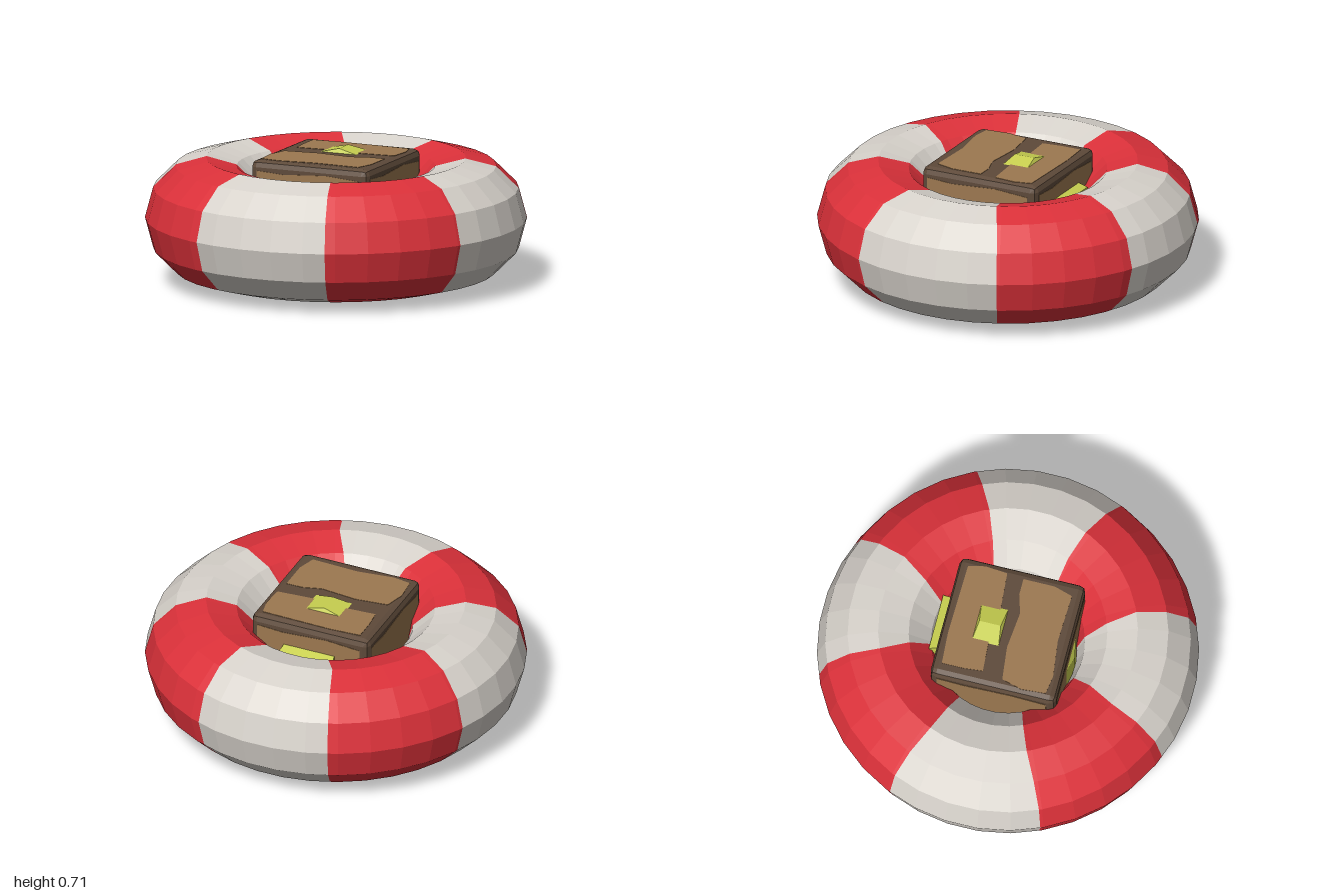
import * as THREE from 'three';
import { RoundedBoxGeometry } from 'three/addons/geometries/RoundedBoxGeometry.js';

const mat = (name, color) => new THREE.MeshStandardMaterial({ name, color, flatShading: true });
const DEG = Math.PI / 180;

// Ring: 36 facets around, 12 around the tube
const R = 0.68, r = 0.32, RING_Y = 0.345, SIDES = 12;
// Half width (degrees) of the white bands, by step from the outer to the inner edge
const ENDS = [21.8, 21.9, 22.2, 22.8, 20, 17, 17];
const FLANKS = [24, 24, 23.5, 22.5, 23, 24.8, 24.9];

function ringPoint(deg, j) {
  const phi = j / SIDES * Math.PI * 2;
  const d = deg - Math.round(deg / 10) * 10;
  const rad = (R + r * Math.cos(phi)) * Math.cos(5 * DEG) / Math.cos(d * DEG) * 1.003;
  return [rad * Math.sin(deg * DEG), RING_Y + r * Math.sin(phi), rad * Math.cos(deg * DEG)];
}

// One coloured section between two boundaries that vary around the tube
function ringSection(start, end, fixed) {
  const pos = [];
  const column = (j) => {
    const k = Math.min(j % SIDES, SIDES - j % SIDES);
    return [start(k), ...fixed, end(k)].map((a) => ringPoint(a, j));
  };
  for (let j = 0; j < SIDES; j++) {
    const a = column(j), b = column(j + 1);
    for (let i = 0; i < a.length - 1; i++) {
      pos.push(...a[i], ...a[i + 1], ...b[i + 1], ...a[i], ...b[i + 1], ...b[i]);
    }
  }
  const g = new THREE.BufferGeometry();
  g.setAttribute('position', new THREE.Float32BufferAttribute(pos, 3));
  g.computeVertexNormals();
  return g;
}

// Thin plate from an outline, facing +z
function plate(points, depth = 0.003) {
  const shape = new THREE.Shape(points.map(([x, y]) => new THREE.Vector2(x, y)));
  return new THREE.ExtrudeGeometry(shape, { depth, bevelEnabled: false });
}

// Ridged clasp facing +z, ridge along y, with sloping ends
function ridgedClasp(w, len, h) {
  const shape = new THREE.Shape([[-w, 0], [w, 0], [0, h]].map(([x, y]) => new THREE.Vector2(x, y)));
  const g = new THREE.ExtrudeGeometry(shape, { depth: len, bevelEnabled: false });
  g.translate(0, 0, -len / 2).rotateX(Math.PI / 2);
  g.scale(1, 1, 1);
  const p = g.attributes.position;
  for (let i = 0; i < p.count; i++) {
    if (p.getZ(i) > h / 2) p.setY(i, p.getY(i) * 0.8);
  }
  g.computeVertexNormals();
  return g;
}

export function createModel() {
  const model = new THREE.Group();
  model.name = 'lifeRingWithCrate';
  const red = mat('red', 0xdc313a), white = mat('offWhite', 0xd8d3cc);
  const dark = mat('darkBrown', 0x5e4a3a), tan = mat('tan', 0x9c7850);
  const mid = mat('midBrown', 0x86684c), lime = mat('limeYellow', 0xc8d050);
  const grey = mat('paleGrey', 0xb8b6b4);

  const add = (parent, name, geometry, material) => {
    const m = new THREE.Mesh(geometry, material);
    m.name = name;
    parent.add(m);
    return m;
  };

  // Alternating bands of the ring
  const ring = new THREE.Group();
  ring.name = 'ring';
  model.add(ring);
  for (let q = 0; q < 4; q++) {
    const c = q * 90;
    const here = q % 2 ? FLANKS : ENDS, next = q % 2 ? ENDS : FLANKS;
    const whiteFixed = [-15, -5, 5, 15].map((a) => a + c);
    const redFixed = [25, 35, 45, 55, 65].map((a) => a + c);
    add(ring, 'whiteBand', ringSection((k) => c - here[k], (k) => c + here[k], whiteFixed), white);
    add(ring, 'redBand', ringSection((k) => c + here[k], (k) => c + 90 - next[k], redFixed), red);
  }

  // Crate in the middle
  const crate = new THREE.Group();
  crate.name = 'crate';
  model.add(crate);
  const H = 0.34;
  const body = add(crate, 'crateBody', new RoundedBoxGeometry(2 * H, 0.679, 2 * H, 1, 0.035), dark);
  body.position.y = 0.3425;

  // Worn panels on the top
  const topPanels = [
    [[-0.26, 0.07], [-0.27, 0.17], [-0.27, 0.29], [-0.1, 0.3], [0.29, 0.29], [0.31, 0.2], [0.3, 0.08], [0.1, 0.065], [-0.1, 0.08]],
    [[-0.3, -0.28], [-0.31, -0.15], [-0.28, -0.04], [-0.1, -0.02], [0.1, -0.04], [0.2, -0.01], [0.29, -0.01], [0.29, -0.18],
      [0.26, -0.28], [0, -0.27], [-0.2, -0.295]],
  ];
  for (const outline of topPanels) {
    add(crate, 'topPanel', plate(outline).rotateX(-Math.PI / 2).translate(0, 0.681, 0), tan);
  }

  // One panel on each side
  const sideOutline = [[-0.29, 0.05], [0.28, 0.045], [0.3, 0.2], [0.29, 0.62], [0.1, 0.635], [-0.15, 0.62], [-0.3, 0.63], [-0.3, 0.3]];
  for (let i = 0; i < 4; i++) {
    const panel = add(crate, 'sidePanel', plate(sideOutline).translate(0, 0, H - 0.001), tan);
    panel.rotation.y = i * Math.PI / 2;
  }

  // Underside with its patch, and the pale lower edge
  const under = add(crate, 'underside', new THREE.BoxGeometry(0.61, 0.002, 0.61), mid);
  under.position.y = 0.0025;
  const patch = [[0.08, -0.226], [0.21, 0.06], [-0.03, 0.28], [-0.29, 0.08], [-0.22, -0.15]];
  add(crate, 'undersidePatch', plate(patch, 0.002).rotateX(-Math.PI / 2), lime);
  const edge = add(crate, 'lowerEdge', new THREE.BoxGeometry(0.05, 0.005, 0.61), grey);
  edge.position.set(H - 0.0165, 0.0185, 0);
  edge.rotation.z = Math.PI / 4;

  // Clasps on the top, front and back
  const topClasp = add(crate, 'topClasp', ridgedClasp(0.108, 0.145, 0.024), lime);
  topClasp.rotation.x = -Math.PI / 2;
  topClasp.position.set(0, 0.681, -0.097);
  const frontClasp = add(crate, 'frontClasp', ridgedClasp(0.11, 0.4, 0.022), lime);
  frontClasp.position.set(0, 0.33, H);

  const g = new THREE.BoxGeometry(0.29, 0.5, 0.05);
  const p = g.attributes.position;
  for (let i = 0; i < p.count; i++) {
    if (p.getZ(i) < 0) p.setXYZ(i, p.getX(i) * 1.06, p.getY(i) * 0.92, p.getZ(i));
  }
  g.computeVertexNormals();
  add(crate, 'backClasp', g, lime).position.set(0, 0.3, -0.365);

  return model;
}
